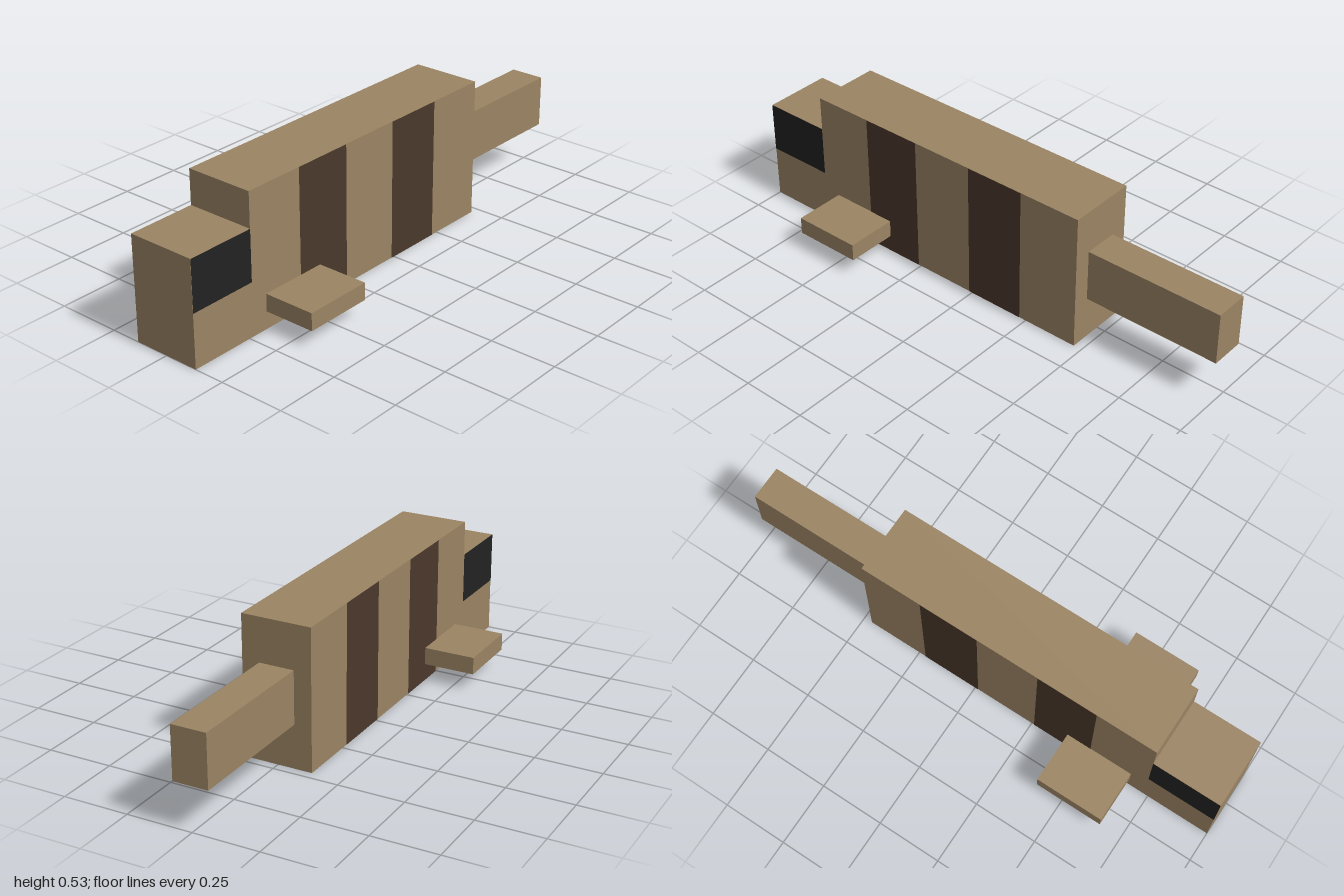
import * as THREE from 'three';

const material = (name, color) => {
  const m = new THREE.MeshStandardMaterial({ color });
  m.name = name;
  return m;
};

export function createModel() {
  const tan = material('tan skin', 0x9b8463);
  const brown = material('dark brown stripe', 0x4a382b);
  const black = material('black eye', 0x222222);
  const model = new THREE.Group();
  model.name = 'blockFish';

  // Box given by its [min, max] range along each axis
  const box = (name, [x0, x1], [y0, y1], [z0, z1]) => {
    const mesh = new THREE.Mesh(new THREE.BoxGeometry(x1 - x0, y1 - y0, z1 - z0), tan);
    mesh.position.set((x0 + x1) / 2, (y0 + y1) / 2, (z0 + z1) / 2);
    mesh.name = name;
    model.add(mesh);
  };

  // Painted face lying just outside one flank (side = 1 left, -1 right)
  const flankPatch = (name, mat, side, [y0, y1], [z0, z1]) => {
    const mesh = new THREE.Mesh(new THREE.PlaneGeometry(z1 - z0, y1 - y0), mat);
    mesh.rotation.y = side * Math.PI / 2;
    mesh.position.set(side * 0.1343, (y0 + y1) / 2, (z0 + z1) / 2);
    mesh.name = name;
    model.add(mesh);
  };

  // Body, head and tail
  box('body', [-0.1333, 0.1333], [0, 0.5333], [-0.4667, 0.7333]);
  box('head', [-0.1333, 0.1333], [0, 0.4], [0.7333, 1]);
  box('tail', [-0.0667, 0.0667], [0.1667, 0.3667], [-1, -0.4667]);

  // Fins, eyes and stripes on both flanks
  for (const side of [1, -1]) {
    const label = side > 0 ? 'left' : 'right';
    box(label + 'Fin', side > 0 ? [0.1333, 0.3333] : [-0.3333, -0.1333], [0.0667, 0.1333], [0.4, 0.6667]);
    flankPatch(label + 'Eye', black, side, [0.205, 0.4], [0.7333, 1]);
    flankPatch(label + 'FrontStripe', brown, side, [0, 0.5333], [0.26, 0.497]);
    flankPatch(label + 'RearStripe', brown, side, [0, 0.5333], [-0.222, 0.013]);
  }
  return model;
}
